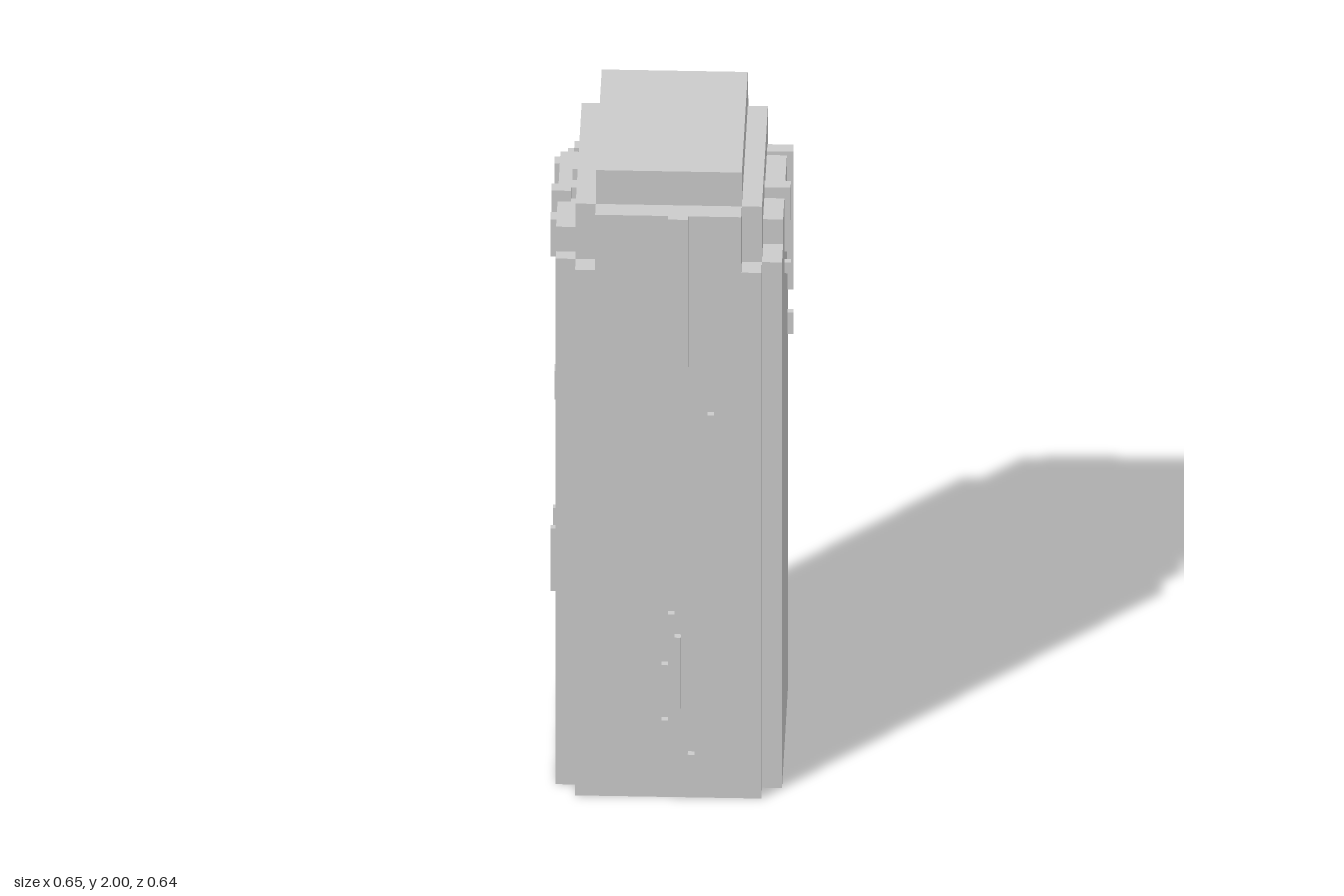
import * as THREE from 'three';

const material = new THREE.MeshStandardMaterial({ color: 0xcccccc, flatShading: true });

// Box given by its limits on each axis
function block(parent, name, [x0, x1], [y0, y1], [z0, z1]) {
  const mesh = new THREE.Mesh(new THREE.BoxGeometry(x1 - x0, y1 - y0, z1 - z0), material);
  mesh.position.set((x0 + x1) / 2, (y0 + y1) / 2, (z0 + z1) / 2);
  mesh.name = name;
  parent.add(mesh);
}

// Upright slab with stepped top corners, extruded along z from 0 to depth
function steppedPanel(name, a0, a1, s0, s1, shoulder, top, depth) {
  const shape = new THREE.Shape([
    [a0, 0], [a1, 0], [a1, shoulder], [s1, shoulder],
    [s1, top], [s0, top], [s0, shoulder], [a0, shoulder],
  ].map(([x, y]) => new THREE.Vector2(x, y)));
  const geometry = new THREE.ExtrudeGeometry(shape, { depth, bevelEnabled: false });
  const mesh = new THREE.Mesh(geometry, material);
  mesh.name = name;
  return mesh;
}

export function createModel() {
  const model = new THREE.Group();
  model.name = 'candle';

  // Core and raised cap
  block(model, 'core', [-0.255, 0.255], [0, 1.89], [-0.265, 0.245]);
  block(model, 'cap', [-0.2, 0.2], [1.89, 2], [-0.265, 0.245]);

  // Front and back panels
  const front = steppedPanel('frontPanel', -0.255, 0.255, -0.2, 0.2, 1.71, 1.89, 0.055);
  front.position.z = 0.245;
  const back = steppedPanel('backPanel', -0.255, 0.255, -0.2, 0.2, 1.71, 1.89, 0.055);
  back.position.z = -0.32;

  // Side panels, turned so the outline runs along z
  const left = steppedPanel('leftPanel', -0.245, 0.265, -0.152, 0.173, 1.71, 1.79, 0.055);
  left.rotation.y = Math.PI / 2;
  left.position.x = 0.255;
  const right = steppedPanel('rightPanel', -0.265, 0.245, -0.173, 0.208, 1.71, 1.79, 0.055);
  right.rotation.y = -Math.PI / 2;
  right.position.x = -0.255;
  model.add(front, back, left, right);

  // Drips on the front: x0, x1, y0, y1
  const frontDrips = new THREE.Group();
  frontDrips.name = 'frontDrips';
  [
    [0, 0.055, 1.64, 1.89], [0, 0.018, 1.57, 1.64], [0.037, 0.055, 1.4, 1.64],
    [0.108, 0.126, 1.185, 1.255],
    [0, 0.018, 0.335, 0.605], [0.018, 0.035, 0.3, 0.53], [-0.018, 0, 0.3, 0.44],
    [-0.018, 0, 0.225, 0.26], [0.054, 0.072, 0.115, 0.15],
  ].forEach(([x0, x1, y0, y1]) => block(frontDrips, 'frontDrip', [x0, x1], [y0, y1], [0.3, 0.318]));

  // Drips on the left: z0, z1, y0, y1, inner x
  const leftDrips = new THREE.Group();
  leftDrips.name = 'leftDrips';
  [
    [0.01, 0.045, 1.79, 1.825, 0.255], [0.01, 0.045, 1.71, 1.79, 0.31],
    [0.01, 0.027, 1.605, 1.71, 0.31], [0.01, 0.027, 1.535, 1.57, 0.31],
    [-0.228, -0.192, 1.71, 1.79, 0.255], [-0.228, -0.192, 1.44, 1.71, 0.31],
    [-0.228, -0.21, 1.33, 1.44, 0.31], [-0.228, -0.21, 1.185, 1.255, 0.31],
  ].forEach(([z0, z1, y0, y1, x]) => block(leftDrips, 'leftDrip', [x, 0.327], [y0, y1], [z0, z1]));

  // Drips on the right: z0, z1, y0, y1, inner x, outer x
  const rightDrips = new THREE.Group();
  rightDrips.name = 'rightDrips';
  [
    [0.045, 0.08, 1.79, 1.825, 0.273, 0.327], [0.045, 0.063, 1.79, 1.825, 0.255, 0.273],
    [0.045, 0.063, 1.67, 1.79, 0.31, 0.327], [0.063, 0.08, 1.71, 1.79, 0.31, 0.327],
    [0.135, 0.173, 1.71, 1.79, 0.31, 0.327], [0.155, 0.173, 1.67, 1.71, 0.31, 0.327],
    [-0.21, -0.173, 1.71, 1.75, 0.29, 0.327], [-0.21, -0.192, 1.64, 1.71, 0.31, 0.327],
    [-0.228, -0.192, 1.71, 1.79, 0.255, 0.273], [-0.192, -0.173, 1.71, 1.79, 0.273, 0.29],
    [-0.047, -0.03, 1.79, 1.825, 0.255, 0.273],
    [-0.21, -0.192, 0.97, 1.075, 0.31, 0.327], [-0.192, -0.173, 1.04, 1.075, 0.31, 0.327],
    [-0.065, -0.047, 0.64, 0.71, 0.31, 0.327],
    [0.135, 0.155, 0.57, 0.71, 0.31, 0.327], [0.155, 0.173, 0.64, 0.785, 0.31, 0.327],
  ].forEach(([z0, z1, y0, y1, xi, xo]) => block(rightDrips, 'rightDrip', [-xo, -xi], [y0, y1], [z0, z1]));

  model.add(frontDrips, leftDrips, rightDrips);
  return model;
}
